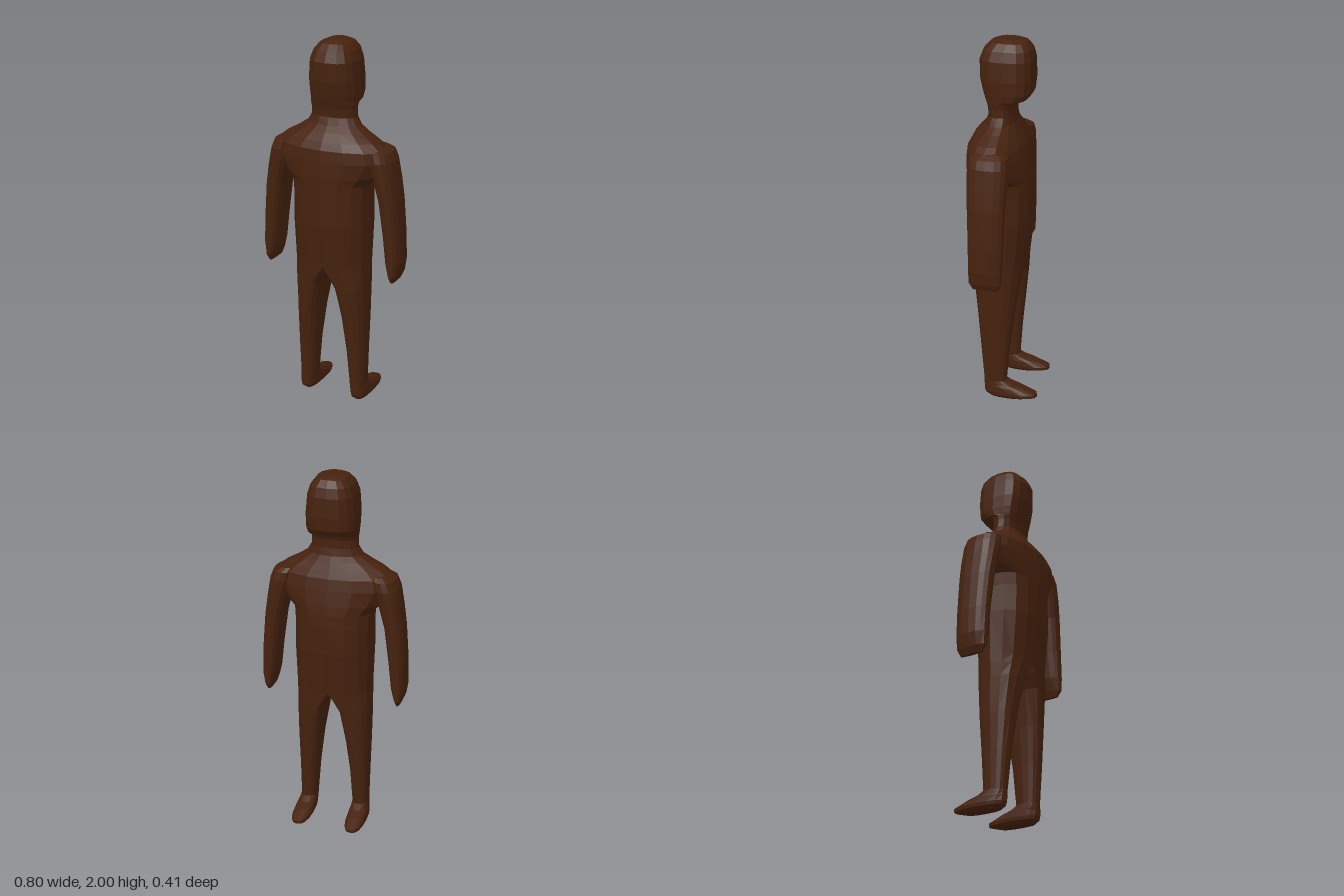
import * as THREE from 'three';

const SIDES = 16;

// One horizontal cross-section: inner x, widest-line x, outer x, back z, front z, squareness
function ring([y, xi, xc, xo, zb, zf, n = 2.3]) {
  const pts = [];
  const pw = (v) => Math.sign(v) * Math.pow(Math.abs(v), 2 / n);
  for (let j = 0; j < SIDES; j++) {
    const t = (j / SIDES) * Math.PI * 2;
    const c = pw(Math.cos(t));
    const s = pw(Math.sin(t));
    pts.push([xc + c * (c > 0 ? xo - xc : xc - xi), y, (zb + zf) / 2 + (s * (zb - zf)) / 2]);
  }
  return pts;
}

// Skin the sections from top to bottom, capping the chosen ends
function loft(name, sections, material, capTop = true, capBottom = true) {
  const rings = sections.map(ring);
  const pos = rings.flat(2);
  const index = [];
  for (let i = 0; i < rings.length - 1; i++) {
    for (let j = 0; j < SIDES; j++) {
      const k = (j + 1) % SIDES;
      const a = i * SIDES + j, b = i * SIDES + k;
      index.push(a, b, a + SIDES, b, b + SIDES, a + SIDES);
    }
  }
  const cap = (r, top) => {
    const centre = pos.length / 3;
    const pts = rings[r];
    for (let q = 0; q < 3; q++) pos.push(pts.reduce((sum, p) => sum + p[q], 0) / SIDES);
    for (let j = 0; j < SIDES; j++) {
      const a = r * SIDES + j, b = r * SIDES + ((j + 1) % SIDES);
      if (top) index.push(centre, b, a);
      else index.push(centre, a, b);
    }
  };
  if (capTop) cap(0, true);
  if (capBottom) cap(rings.length - 1, false);
  const geo = new THREE.BufferGeometry();
  geo.setAttribute('position', new THREE.Float32BufferAttribute(pos, 3));
  geo.setIndex(index);
  geo.computeVertexNormals();
  const mesh = new THREE.Mesh(geo, material);
  mesh.name = name;
  return mesh;
}

// Section symmetric about x = 0
const mid = (y, w, zb, zf, n) => [y, -w, 0, w, zb, zf, n];
// Section centred between its inner and outer edge
const limb = (y, xi, xo, zb, zf, n) => [y, xi, (xi + xo) / 2, xo, zb, zf, n];

export function createModel() {
  const group = new THREE.Group();
  group.name = 'figure';
  const brown = new THREE.MeshStandardMaterial({ color: 0x46220e, flatShading: true });
  brown.name = 'dark brown';

  // Head with an overhanging jaw, narrowing into the neck
  group.add(loft('head', [
    mid(2.0, 0.045, 0.045, -0.07, 2.5),
    mid(1.985, 0.08, 0.085, -0.105, 2.6),
    mid(1.95, 0.108, 0.12, -0.128, 2.8),
    mid(1.9, 0.125, 0.14, -0.14, 2.8),
    mid(1.8, 0.134, 0.136, -0.143, 2.8),
    mid(1.73, 0.133, 0.12, -0.135, 2.8),
    mid(1.695, 0.13, 0.11, -0.11, 2.7),
    mid(1.68, 0.127, 0.105, -0.055, 2.5),
    mid(1.655, 0.124, 0.098, -0.045, 2.4),
    mid(1.61, 0.126, 0.094, -0.045, 2.3),
  ], brown, true, false));

  // Torso from neck base through sloping shoulders to hips
  group.add(loft('torso', [
    mid(1.61, 0.126, 0.094, -0.045, 2.3),
    mid(1.57, 0.15, 0.11, -0.053, 2.1),
    mid(1.54, 0.195, 0.14, -0.066, 2),
    mid(1.5, 0.265, 0.172, -0.083, 2),
    mid(1.46, 0.315, 0.193, -0.1, 2),
    mid(1.4, 0.33, 0.2, -0.113, 2),
    mid(1.32, 0.27, 0.205, -0.128, 2.2),
    mid(1.27, 0.215, 0.205, -0.135, 2.4),
    mid(1.2, 0.21, 0.205, -0.14, 2.4),
    mid(1.05, 0.212, 0.205, -0.14, 2.4),
    mid(0.81, 0.207, 0.175, -0.11, 2.4),
  ], brown, false, false));

  const armSections = [
    limb(1.475, 0.2, 0.295, 0.1, -0.045),
    limb(1.455, 0.2, 0.33, 0.13, -0.07),
    limb(1.41, 0.21, 0.348, 0.138, -0.078),
    limb(1.31, 0.245, 0.364, 0.135, -0.076, 2.5),
    limb(1.2, 0.275, 0.38, 0.128, -0.072, 2.5),
    limb(1.0, 0.302, 0.396, 0.12, -0.068, 2.5),
    limb(0.86, 0.318, 0.4, 0.118, -0.065, 2.5),
    limb(0.79, 0.337, 0.388, 0.115, -0.06, 2.5),
    limb(0.755, 0.35, 0.373, 0.095, -0.04, 2.5),
  ];

  // Legs begin as half the hip section and become round at the ankle
  const legSections = [
    [0.81, 0, 0, 0.207, 0.175, -0.11, 2.4],
    [0.76, 0.01, 0.035, 0.206, 0.169, -0.102, 2.4],
    [0.69, 0.04, 0.08, 0.205, 0.159, -0.093, 2.4],
    [0.5, 0.07, 0.12, 0.202, 0.133, -0.07, 2.4],
    [0.3, 0.092, 0.143, 0.197, 0.112, -0.047, 2.4],
    limb(0.1, 0.106, 0.194, 0.094, -0.032, 2.4),
  ];

  // Feet point towards the face side, with tapering toes
  const footSections = [
    limb(0.1, 0.106, 0.194, 0.094, -0.032, 2.4),
    limb(0.08, 0.104, 0.198, 0.095, -0.07, 2.4),
    limb(0.065, 0.102, 0.203, 0.095, -0.125, 2.4),
    limb(0.035, 0.1, 0.208, 0.094, -0.205, 2.5),
    limb(0.018, 0.103, 0.206, 0.088, -0.205, 2.5),
    limb(0, 0.12, 0.19, 0.065, -0.14, 2.4),
  ];

  for (const [side, sign] of [['left', 1], ['right', -1]]) {
    const half = new THREE.Group();
    half.name = side + 'Limbs';
    half.add(
      loft(side + 'Arm', armSections, brown),
      loft(side + 'Leg', legSections, brown, false, false),
      loft(side + 'Foot', footSections, brown, false, true),
    );
    half.scale.x = sign;
    group.add(half);
  }
  return group;
}
